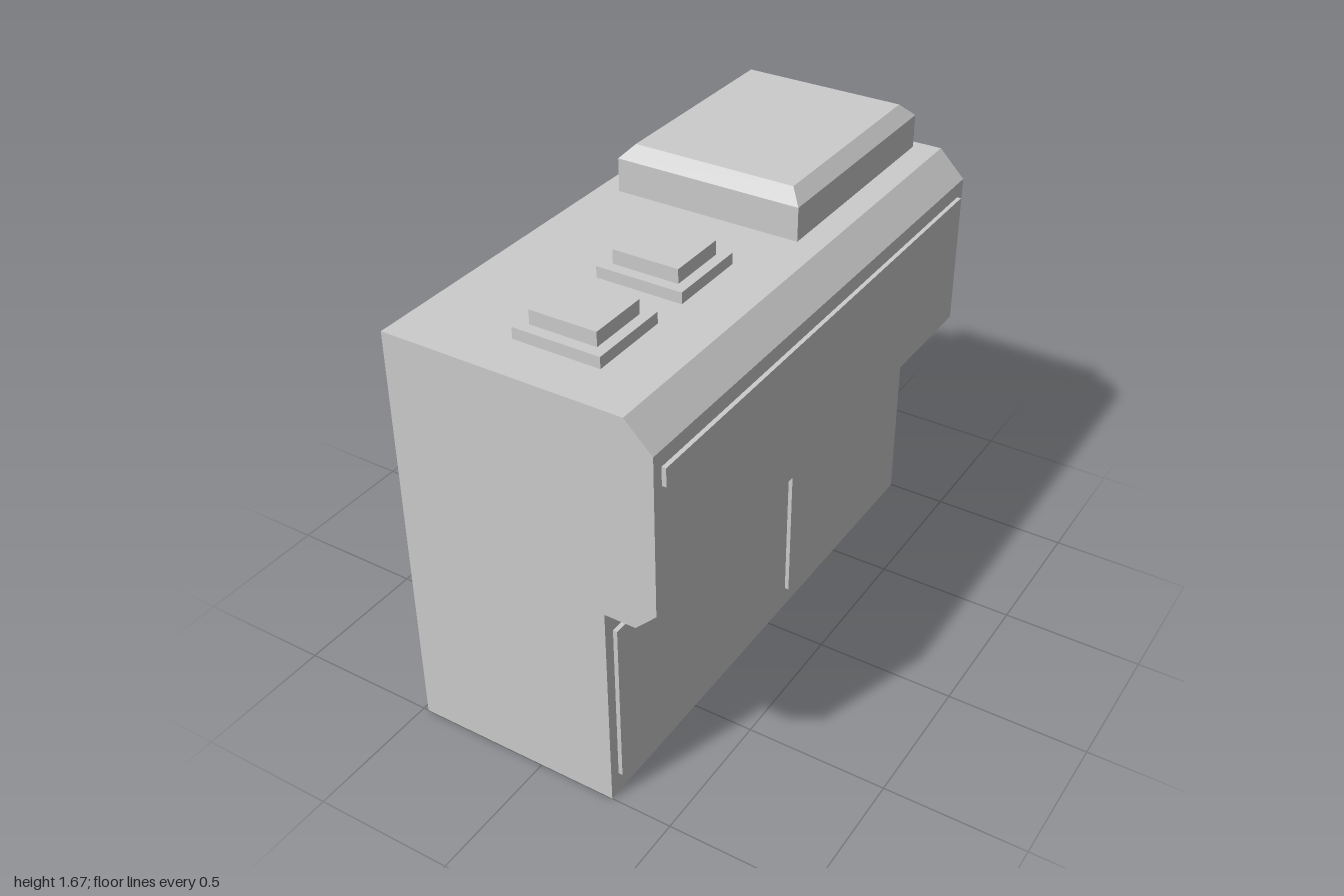
import * as THREE from 'three';

const material = new THREE.MeshStandardMaterial({ color: 0xcccccc, flatShading: true, side: THREE.DoubleSide });

function addMesh(parent, name, geometry) {
  const mesh = new THREE.Mesh(geometry, material);
  mesh.name = name;
  parent.add(mesh);
  return mesh;
}

// Rectangle corners, counter-clockwise, from [u0, u1, v0, v1]
const corners = ([u0, u1, v0, v1]) => [[u0, v0], [u1, v0], [u1, v1], [u0, v1]];
const points = (list) => list.map(([x, y]) => new THREE.Vector2(x, y));

// Flat plate in the local XY plane, open where raised parts grow out of it
function plate(rect, holes) {
  const shape = new THREE.Shape(points(corners(rect)));
  for (const hole of holes) shape.holes.push(new THREE.Path(points(corners(hole).reverse())));
  return new THREE.ShapeGeometry(shape);
}

// Stack of rectangles [u0, u1, v0, v1, height] joined by walls and capped on top, open below
function raised(levels) {
  const position = [];
  const quad = (a, b, c, d) => position.push(...a, ...b, ...c, ...a, ...c, ...d);
  const rings = levels.map((l) => corners(l).map(([u, v]) => [u, v, l[4]]));
  for (let k = 0; k + 1 < rings.length; k++) {
    for (let i = 0; i < 4; i++) {
      const j = (i + 1) % 4;
      quad(rings[k][i], rings[k][j], rings[k + 1][j], rings[k + 1][i]);
    }
  }
  quad(...rings[rings.length - 1]);
  const geometry = new THREE.BufferGeometry();
  geometry.setAttribute('position', new THREE.Float32BufferAttribute(position, 3));
  geometry.computeVertexNormals();
  return geometry;
}

// A plate plus its raised parts, kept in one group so it can be turned into place
function panel(parent, name, rect, parts) {
  const group = new THREE.Group();
  group.name = name;
  addMesh(group, name + 'Plate', plate(rect, parts.map((p) => p.levels[0].slice(0, 4))));
  for (const p of parts) addMesh(group, p.name, raised(p.levels));
  parent.add(group);
  return group;
}

// Box-like part standing straight out of its plate
const block = (name, rect, depth) => ({ name, levels: [[...rect, 0], [...rect, depth]] });

export function createModel() {
  const model = new THREE.Group();
  model.name = 'cabinet';

  // Outline of the end walls
  const outline = [[-0.48, 0], [0.28, 0], [0.28, 0.775], [0.39, 0.775],
    [0.465, 0.85], [0.465, 1.415], [0.37, 1.51], [-0.48, 1.51]];
  const endShape = new THREE.Shape(points(outline));
  addMesh(model, 'frontEndWall', new THREE.ShapeGeometry(endShape)).position.z = 1;
  const backEnd = addMesh(model, 'backEndWall', new THREE.ShapeGeometry(
    new THREE.Shape(points(outline.map(([x, y]) => [-x, y])))));
  backEnd.rotation.y = Math.PI;
  backEnd.position.z = -1;

  // Underside of the overhang and the two sloping edges
  for (const [name, i] of [['overhangUnderside', 2], ['lowerBevel', 3], ['upperBevel', 5]]) {
    const [a, b] = [outline[i], outline[i + 1]];
    const strip = new THREE.PlaneGeometry(2, Math.hypot(b[0] - a[0], b[1] - a[1]));
    strip.rotateY(Math.PI / 2);
    strip.rotateZ(Math.atan2(b[1] - a[1], b[0] - a[0]) - Math.PI / 2);
    addMesh(model, name, strip).position.set((a[0] + b[0]) / 2, (a[1] + b[1]) / 2, 0);
  }

  // Lower wall with its two doors
  const lower = panel(model, 'lowerWall', [-1, 1, 0, 0.775], [
    block('wideDoor', [0.12, 0.83, 0.08, 0.685], 0.015),
    block('narrowDoor', [-0.96, -0.415, 0.08, 0.685], 0.015),
  ]);
  lower.rotation.y = Math.PI / 2;
  lower.position.x = 0.28;

  // Overhanging upper wall with a long rail
  const upper = panel(model, 'upperWall', [-1, 1, 0.85, 1.415], [
    block('rail', [-0.96, 0.96, 1.295, 1.36], 0.015),
  ]);
  upper.rotation.y = Math.PI / 2;
  upper.position.x = 0.465;

  // Roof with a bevelled hood and two stepped caps
  const hood = {
    name: 'hood',
    levels: [[-0.405, 0.28, 0.12, 0.96, 0], [-0.405, 0.28, 0.12, 0.96, 0.12],
      [-0.363, 0.235, 0.165, 0.918, 0.165]],
  };
  const caps = [0.26, 0.685].map((z) => {
    const base = [-0.13, 0.18, -z - 0.147, -z + 0.147];
    const top = [-0.095, 0.143, -z - 0.108, -z + 0.108];
    return { name: 'steppedCap', levels: [[...base, 0], [...base, 0.04], [...top, 0.04], [...top, 0.09]] };
  });
  const roof = panel(model, 'roof', [-0.48, 0.37, -1, 1], [hood, ...caps]);
  roof.rotation.x = -Math.PI / 2;
  roof.position.y = 1.51;

  return model;
}
